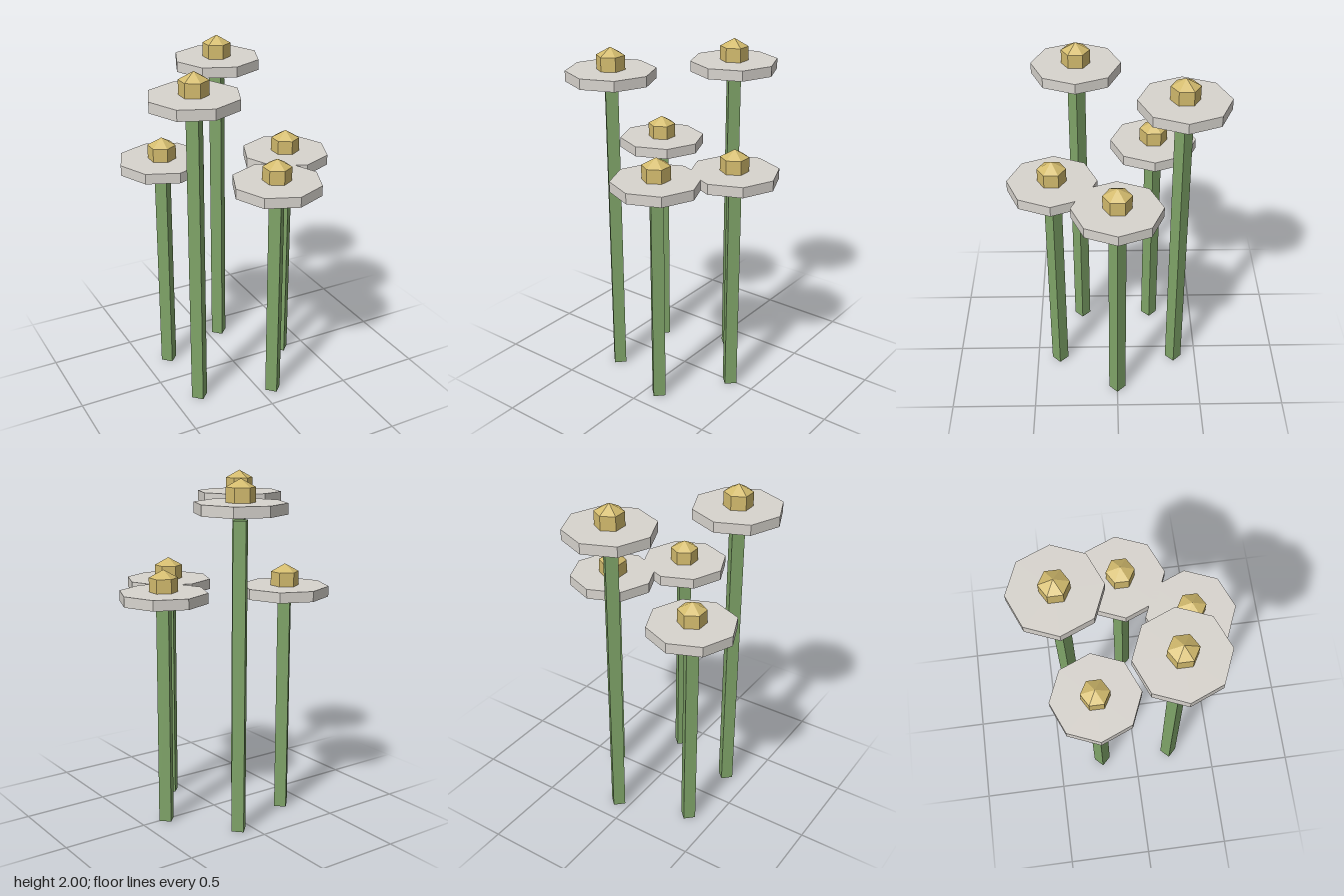
import * as THREE from 'three';

const flat = (color) => new THREE.MeshStandardMaterial({ color, flatShading: true });

export function createModel() {
  const model = new THREE.Group();
  const green = flat(0x7fa468);
  const white = flat(0xd8d4ce);
  const gold = flat(0xd4bc6e);

  // Shared parts: octagonal petal disc and a six-sided bud with a pointed cap
  const petalGeo = new THREE.CylinderGeometry(0.253, 0.253, 0.06, 8);
  const budProfile = [[0, 0], [0.081, 0], [0.081, 0.08], [0, 0.125]];
  const budGeo = new THREE.LatheGeometry(budProfile.map(([r, y]) => new THREE.Vector2(r, y)), 6);

  function addPart(parent, name, geometry, material, y) {
    const mesh = new THREE.Mesh(geometry, material);
    mesh.name = name;
    mesh.position.y = y;
    parent.add(mesh);
  }

  function makeFlower(stemHeight) {
    const flower = new THREE.Group();
    flower.name = 'flower';
    const stemGeo = new THREE.CylinderGeometry(0.05, 0.05, stemHeight, 4);
    addPart(flower, 'stem', stemGeo, green, stemHeight / 2);
    // The head floats just above the stem
    addPart(flower, 'petalDisc', petalGeo, white, stemHeight + 0.065);
    addPart(flower, 'bud', budGeo, gold, stemHeight + 0.095);
    return flower;
  }

  // Five flowers in a ring, two of them tall
  const tall = 1.78, low = 1.272;
  [low, low, tall, low, tall].forEach((height, i) => {
    const angle = (i * Math.PI * 2) / 5;
    const flower = makeFlower(height);
    flower.position.set(-0.036 + 0.379 * Math.cos(angle), 0, 0.379 * Math.sin(angle));
    model.add(flower);
  });

  return model;
}
